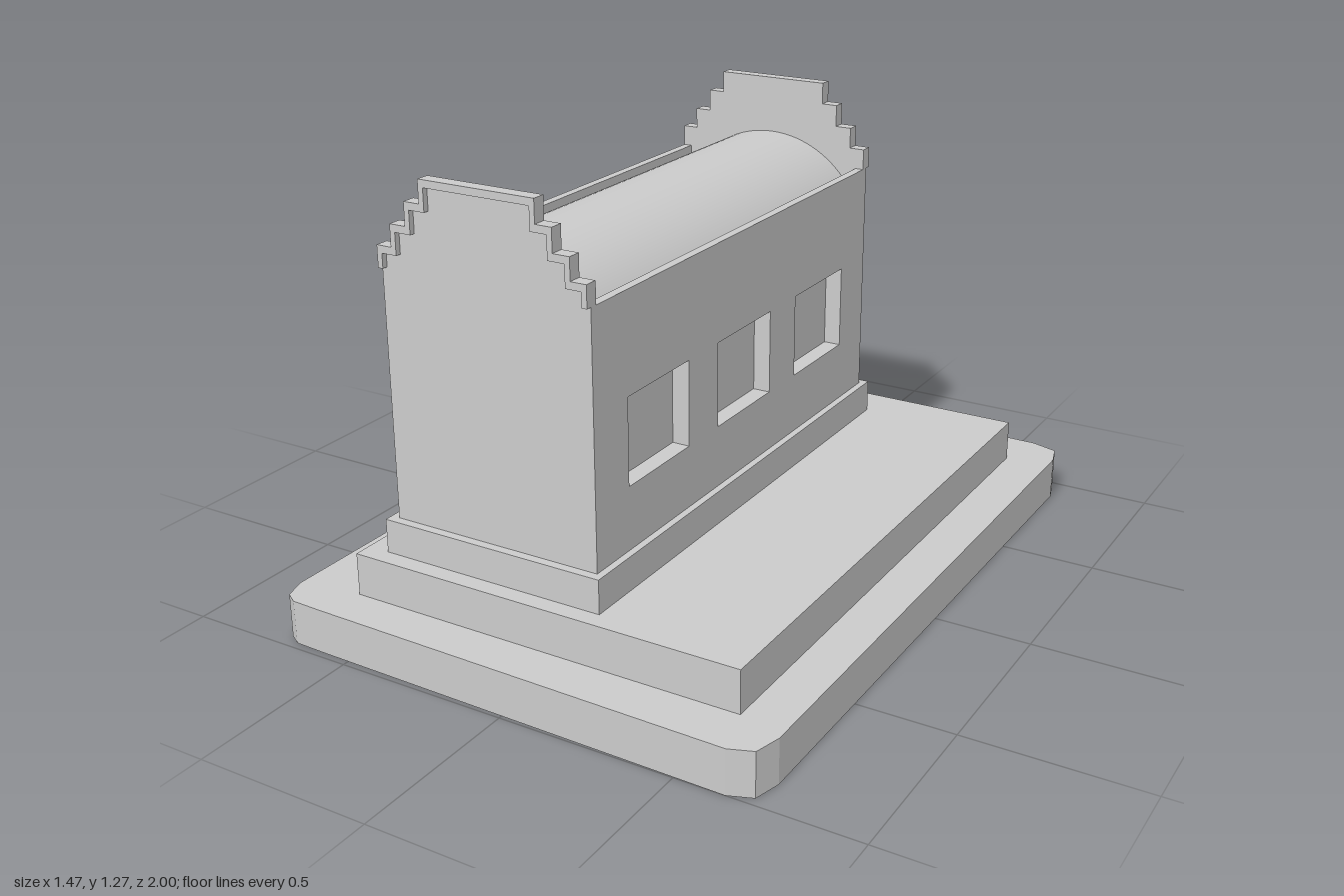
import * as THREE from 'three';

const material = new THREE.MeshStandardMaterial({ color: 0xcccccc, side: THREE.DoubleSide });
const CX = -0.155;                 // centre line of the building
const HALF = 0.31;                 // half width of the building
const FRONT = 0.785, BACK = -0.69; // end wall planes
const EAVE = 1.03, SPRING = 0.93;  // wall top and foot of the vault
const LEDGE = 0.025;               // width of the wall top beside the vault

function add(parent, name, geometry) {
  const mesh = new THREE.Mesh(geometry, material);
  mesh.name = name;
  parent.add(mesh);
  return mesh;
}

// Closed band of flat quads between two matching loops of [x, y, z] points
function band(a, b) {
  const pos = [];
  a.forEach((p, i) => {
    const j = (i + 1) % a.length;
    pos.push(...p, ...a[j], ...b[j], ...p, ...b[j], ...b[i]);
  });
  const g = new THREE.BufferGeometry();
  g.setAttribute('position', new THREE.Float32BufferAttribute(pos, 3));
  g.computeVertexNormals();
  return g;
}

const toShape = (pts) => new THREE.Shape(pts.map(([x, y]) => new THREE.Vector2(x, y)));

// Rectangle in plan, counter-clockwise seen from above
const rect = (x0, x1, z0, z1) => [[x0, z1], [x1, z1], [x1, z0], [x0, z0]];

// Hollow step: outer sides and a top that is open under the next step
function addTier(parent, name, outline, y0, y1, opening) {
  const group = new THREE.Group();
  group.name = name;
  const at = (y) => outline.map(([x, z]) => [x, y, z]);
  add(group, name + 'Sides', band(at(y0), at(y1)));
  const flip = (pts) => pts.map(([x, z]) => [x, -z]);
  const shape = toShape(flip(outline));
  shape.holes.push(toShape(flip(opening)));
  add(group, name + 'Top', new THREE.ShapeGeometry(shape).rotateX(-Math.PI / 2).translate(0, y1, 0));
  parent.add(group);
}

// Stepped gable outline from the left foot over the top to the right foot
function steppedLine(insetX, insetY) {
  const steps = [[0.31, 1.09], [0.265, 1.15], [0.217, 1.213], [0.17, 1.275]];
  const right = [];
  let y = EAVE;
  for (const [half, top] of steps) {
    right.push([half - insetX, y], [half - insetX, top - insetY]);
    y = top - insetY;
  }
  const left = right.map(([px, py]) => [-px, py]);
  return [...left, ...right.reverse()];
}

const extrude = (pts, depth, z) =>
  new THREE.ExtrudeGeometry(toShape(pts), { depth, bevelEnabled: false }).translate(CX, 0, z);

// Long wall, facing +x, with optional window openings given as [zMin, zMax]
function sideWall(windows, y0, y1) {
  const shape = toShape([[-FRONT, 0.34], [-BACK, 0.34], [-BACK, EAVE], [-FRONT, EAVE]]);
  for (const [a, b] of windows) shape.holes.push(toShape([[-b, y0], [-b, y1], [-a, y1], [-a, y0]]));
  return new THREE.ShapeGeometry(shape).rotateY(Math.PI / 2);
}

export function createModel() {
  const model = new THREE.Group();
  model.name = 'vaultedTomb';

  // Stepped platform
  const slab = [
    [-0.59, 0.98], [0.64, 1.0], [0.705, 0.975], [0.725, 0.9],
    [0.73, -0.9], [0.71, -0.97], [0.63, -0.995],
    [-0.6, -1.0], [-0.705, -0.98], [-0.728, -0.9], [-0.73, 0.0],
    [-0.735, 0.89], [-0.715, 0.955], [-0.68, 0.977],
  ];
  const terrace = rect(-0.555, 0.6, -0.84, 0.86);
  const plinth = rect(-0.49, 0.175, -0.715, 0.81);
  const body = rect(CX - HALF, CX + HALF, BACK, FRONT);
  addTier(model, 'baseSlab', slab, 0, 0.125, terrace);
  addTier(model, 'terrace', terrace, 0.125, 0.245, plinth);
  addTier(model, 'plinth', plinth, 0.245, 0.34, body);

  // Long walls, the left one with three recessed windows
  const windows = [[0.345, 0.635], [-0.095, 0.195], [-0.54, -0.245]];
  const sill = 0.515, head = 0.755, wallX = CX + HALF, depth = 0.05;
  add(model, 'windowWall', sideWall(windows, sill, head)).position.x = wallX;
  const plain = add(model, 'plainWall', sideWall([], 0, 0).rotateY(Math.PI));
  plain.position.set(CX - HALF, 0, FRONT + BACK);
  for (const [a, b] of windows) {
    const loop = (x) => [[x, sill, b], [x, sill, a], [x, head, a], [x, head, b]];
    add(model, 'windowReveal', band(loop(wallX), loop(wallX - depth)));
    add(model, 'windowPanel', new THREE.PlaneGeometry(b - a, head - sill).rotateY(Math.PI / 2)
      .translate(wallX - depth, (sill + head) / 2, (a + b) / 2));
  }

  // Wall tops and the inner faces dropping to the vault
  const length = FRONT - BACK, midZ = (FRONT + BACK) / 2;
  for (const s of [-1, 1]) {
    add(model, 'wallTop', new THREE.PlaneGeometry(LEDGE, length).rotateX(-Math.PI / 2)
      .translate(CX + s * (HALF - LEDGE / 2), EAVE, midZ));
    add(model, 'gutterFace', new THREE.PlaneGeometry(length, EAVE - SPRING).rotateY(-s * Math.PI / 2)
      .translate(CX + s * (HALF - LEDGE), (EAVE + SPRING) / 2, midZ));
  }

  // Barrel vault
  const radius = 0.32, half = Math.asin((HALF - LEDGE) / radius);
  add(model, 'barrelVault', new THREE.CylinderGeometry(radius, radius, length - 0.03, 40, 1, true, -half, 2 * half)
    .rotateX(-Math.PI / 2).translate(CX, 1.11 - radius, midZ));

  // End walls with stepped gables and projecting copings
  const inner = steppedLine(0.015, 0.02), outer = steppedLine(0, 0);
  const panel = [[-HALF, SPRING], [-HALF, EAVE], ...inner, [HALF, EAVE], [HALF, SPRING]];
  const coping = [...outer, ...[...inner].reverse()];
  for (const [name, wallZ, s] of [['front', FRONT, 1], ['back', BACK, -1]]) {
    const insideZ = wallZ - s * 0.022, outsideZ = wallZ + s * 0.016;
    add(model, name + 'Wall', new THREE.PlaneGeometry(2 * HALF, SPRING - 0.34)
      .rotateY(s > 0 ? 0 : Math.PI).translate(CX, (SPRING + 0.34) / 2, wallZ));
    add(model, name + 'Gable', extrude(panel, 0.022, Math.min(wallZ, insideZ)));
    add(model, name + 'Coping', extrude(coping, 0.038, Math.min(insideZ, outsideZ)));
  }
  return model;
}
